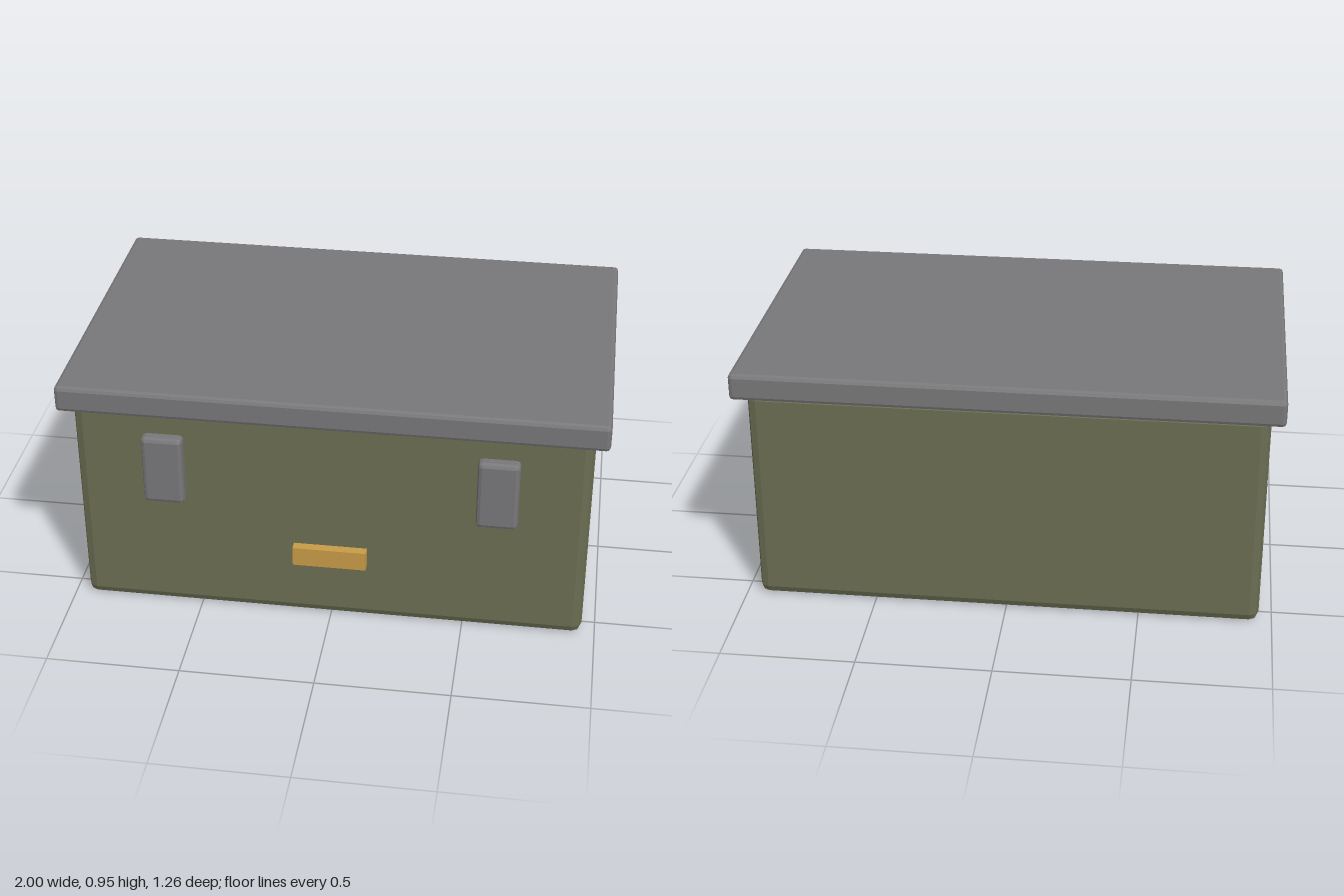
import * as THREE from 'three';
import { RoundedBoxGeometry } from 'three/addons/geometries/RoundedBoxGeometry.js';

function material(name, color) {
  const m = new THREE.MeshStandardMaterial({ color, flatShading: true });
  m.name = name;
  return m;
}

export function createModel() {
  const group = new THREE.Group();
  group.name = 'storageCrate';

  const olive = material('olive', 0x6b6e53);
  const grey = material('grey', 0x78787a);
  const brass = material('brass', 0xc89b48);

  // Adds a box given by its centre and size, with bevelled edges if asked
  function addBox(name, mat, [x, y, z], [w, h, d], bevel = 0) {
    const geometry = bevel
      ? new RoundedBoxGeometry(w, h, d, 1, bevel)
      : new THREE.BoxGeometry(w, h, d);
    const mesh = new THREE.Mesh(geometry, mat);
    mesh.name = name;
    mesh.position.set(x, y, z);
    group.add(mesh);
  }

  // Body, its top edge tucked into the lid
  addBox('body', olive, [0, 0.43, 0], [1.9, 0.86, 1.17], 0.035);

  // Overhanging lid
  addBox('lid', grey, [0, 0.895, 0], [2, 0.102, 1.256], 0.015);

  // Pair of front latches
  for (const side of [-1, 1]) {
    addBox(side > 0 ? 'leftLatch' : 'rightLatch', grey,
      [side * 0.615, 0.618, 0.592], [0.152, 0.275, 0.072], 0.015);
  }

  // Brass name plate
  addBox('frontPlate', brass, [0, 0.28, 0.595], [0.275, 0.076, 0.05]);

  return group;
}
